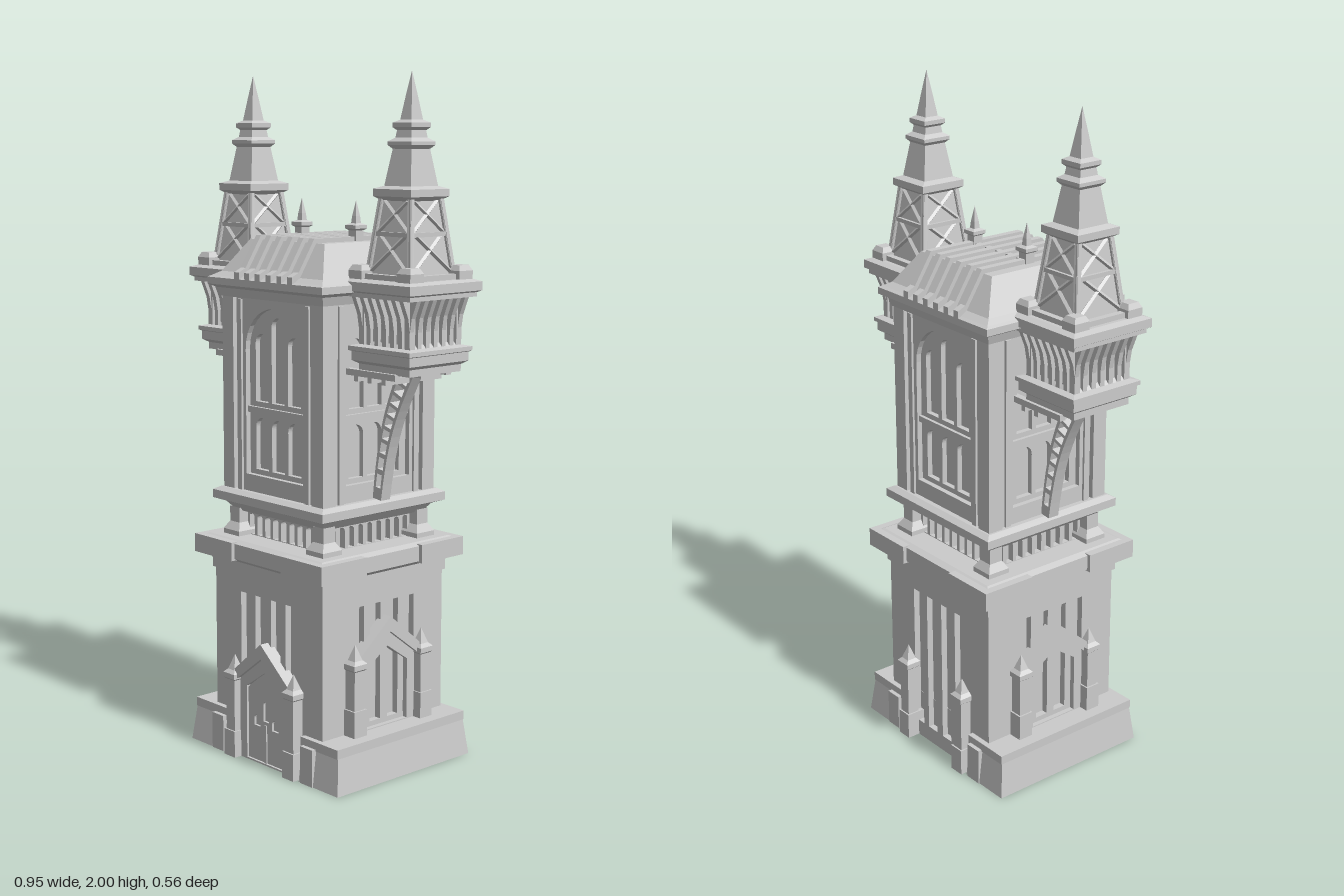
import * as THREE from 'three';

const mat = new THREE.MeshStandardMaterial({ color: 0xcccccc, flatShading: true, side: THREE.DoubleSide });

function add(parent, name, geo) {
  const m = new THREE.Mesh(geo, mat);
  m.name = name;
  parent.add(m);
  return m;
}
function group(parent, name, rotY = 0) {
  const g = new THREE.Group();
  g.name = name;
  g.rotation.y = rotY;
  parent.add(g);
  return g;
}
// box given by its limits
const box = (p, name, x0, x1, y0, y1, z0, z1) =>
  add(p, name, new THREE.BoxGeometry(x1 - x0, y1 - y0, z1 - z0).translate((x0 + x1) / 2, (y0 + y1) / 2, (z0 + z1) / 2));
// square stack from [half width, y] pairs, bottom to top
function stack(p, name, prof, x = 0, z = 0) {
  const pts = prof.map(([r, y]) => new THREE.Vector2(r * Math.SQRT2, y));
  return add(p, name, new THREE.LatheGeometry(pts, 4, Math.PI / 4).translate(x, 0, z));
}
// plate facing +z, with holes
function plate(p, name, shape, holes, z0, z1) {
  shape.holes = holes;
  return add(p, name, new THREE.ExtrudeGeometry(shape, { depth: z1 - z0, bevelEnabled: false, curveSegments: 8 }).translate(0, 0, z0));
}
const poly = pts => new THREE.Shape(pts.map(([x, y]) => new THREE.Vector2(x, y)));
const rect = (x0, x1, y0, y1) => poly([[x0, y0], [x1, y0], [x1, y1], [x0, y1]]);
function arch(cx, hw, y0, ys) {
  const s = new THREE.Shape();
  s.moveTo(cx - hw, y0).lineTo(cx + hw, y0).lineTo(cx + hw, ys);
  s.absarc(cx, ys, hw, 0, Math.PI, false);
  return s;
}
// profile drawn as (z, y), extruded along x
function rib(p, name, pts, x, width) {
  const g = new THREE.ExtrudeGeometry(poly(pts), { depth: width, bevelEnabled: false });
  return add(p, name, g.translate(0, 0, -width / 2).rotateY(-Math.PI / 2).translate(x, 0, 0));
}
function bar(p, name, a, b, t) {
  const A = new THREE.Vector3(...a), B = new THREE.Vector3(...b), d = B.clone().sub(A);
  const m = add(p, name, new THREE.BoxGeometry(t, t, d.length()));
  m.position.copy(A).add(B).multiplyScalar(0.5);
  m.quaternion.setFromUnitVectors(new THREE.Vector3(0, 0, 1), d.normalize());
}
function sides(parent, name, fn) {
  for (let i = 0; i < 4; i++) fn(group(parent, name, i * Math.PI / 2), i);
}

// gable with coping between two pinnacled posts, on a face at +z
function gable(p, y0, eave, peak, z) {
  plate(p, 'gablePanel', poly([[-0.11, y0], [0.11, y0], [0.11, eave], [0, peak - 0.02], [-0.11, eave]]),
    [poly([[-0.08, y0 + 0.005], [0.08, y0 + 0.005], [0.08, eave - 0.03], [0, peak - 0.09], [-0.08, eave - 0.03]])], z - 0.02, z + 0.008);
  plate(p, 'gableCoping', poly([[-0.125, eave - 0.025], [0, peak - 0.045], [0.125, eave - 0.025], [0.125, eave + 0.01], [0, peak], [-0.125, eave + 0.01]]), [], z - 0.02, z + 0.022);
}
function posts(p, y0, y1, z) {
  for (const s of [-1, 1]) {
    box(p, 'postFoot', s * 0.132 - 0.024, s * 0.132 + 0.024, y0, y0 + 0.08, z - 0.03, z + 0.032);
    stack(p, 'post', [[0, y0], [0.019, y0], [0.019, y1 - 0.05], [0.025, y1 - 0.045], [0.025, y1 - 0.03], [0.015, y1 - 0.02], [0, y1 + 0.025]], s * 0.132, z + 0.008);
  }
}

function lowerTower(root) {
  const g = group(root, 'lowerTower');
  // two plinth blocks with a passage between
  for (const s of [-1, 1]) {
    const geo = new THREE.BoxGeometry(0.165, 0.13, 0.53).translate(s * 0.2475, 0.065, 0);
    const pos = geo.attributes.position;
    for (let i = 0; i < pos.count; i++) if (pos.getY(i) > 0.1) {
      pos.setZ(i, pos.getZ(i) * 0.94);
      if (Math.abs(pos.getX(i)) > 0.25) pos.setX(i, s * 0.315);
    }
    add(g, 'plinth', geo);
    box(g, 'plinthBand', s * 0.24 - 0.078, s * 0.24 + 0.078, 0.105, 0.132, -0.255, 0.255);
    for (const f of [-1, 1]) box(g, 'plinthButtress', s * 0.2 - 0.026, s * 0.2 + 0.026, 0, 0.11, f * 0.258 - 0.01, f * 0.258 + 0.01);
  }
  box(g, 'core', -0.218, 0.218, 0.13, 0.56, -0.218, 0.218);
  sides(g, 'lowerFace', (f, i) => {
    const y0 = i % 2 ? 0.13 : 0;
    const slots = [-0.1, -0.035, 0.035, 0.1].map(x => rect(x - 0.021, x + 0.021, i === 2 ? 0.05 : 0.15, 0.5));
    plate(f, 'panelledWall', rect(-0.238, 0.238, y0, 0.56), slots, 0.217, 0.238);
    if (!(i % 2)) box(f, 'wallBacking', -0.17, 0.17, 0, 0.14, 0.2, 0.219);
    if (i % 2) {
      gable(f, 0.13, 0.345, 0.46, 0.245);
      posts(f, 0.13, 0.375, 0.25);
    } else {
      posts(f, 0, 0.285, 0.246);
      if (i === 0) {
        gable(f, 0, 0.255, 0.37, 0.245);
        plate(f, 'door', poly([[-0.08, 0], [0.08, 0], [0.08, 0.22], [0, 0.285], [-0.08, 0.22]]),
          [arch(-0.04, 0.014, 0.11, 0.13), arch(0, 0.012, 0.13, 0.18), arch(0.04, 0.014, 0.11, 0.13)], 0.238, 0.246);
        box(f, 'doorJoint', -0.004, 0.004, 0, 0.12, 0.24, 0.25);
      }
    }
  });
  // ledge with thicker corners
  stack(g, 'ledge', [[0, 0.555], [0.245, 0.555], [0.245, 0.59], [0.27, 0.605], [0.27, 0.65], [0.25, 0.658], [0, 0.658]]);
  for (const sx of [-1, 1]) for (const sz of [-1, 1]) {
    box(g, 'ledgeCorner', sx * 0.196 - 0.086, sx * 0.196 + 0.086, 0.6, 0.655, sz * 0.196 - 0.086, sz * 0.196 + 0.086);
    stack(g, 'cornerPad', [[0.036, 0.655], [0.036, 0.672], [0.022, 0.695], [0.022, 0.74]], sx * 0.185, sz * 0.185);
  }
}

function neck(root) {
  const g = group(root, 'neck');
  stack(g, 'neckCore', [[0.155, 0.65], [0.155, 0.74]]);
  sides(g, 'arcadeSide', f => {
    const holes = [];
    for (let i = -4; i <= 4; i++) holes.push(arch(i * 0.036, 0.012, 0.66, 0.71));
    plate(f, 'arcade', rect(-0.175, 0.175, 0.65, 0.74), holes, 0.153, 0.175);
  });
  stack(g, 'upperLedge', [[0, 0.73], [0.195, 0.73], [0.215, 0.755], [0.243, 0.765], [0.243, 0.79], [0.225, 0.8], [0, 0.8]]);
}

function upperTower(root) {
  const g = group(root, 'upperTower');
  box(g, 'core', -0.178, 0.178, 0.79, 1.4, -0.178, 0.178);
  sides(g, 'upperFace', f => {
    plate(f, 'archedWall', rect(-0.165, 0.165, 0.79, 1.4), [arch(0, 0.125, 0.85, 1.215)], 0.177, 0.21);
    const win = [];
    for (const c of [-1, 0, 1]) {
      win.push(arch(c * 0.071, 0.028, 1.065, c ? 1.235 : 1.285));
      win.push(arch(c * 0.071, 0.028, 0.865, 0.99));
    }
    plate(f, 'tracery', arch(0, 0.126, 0.85, 1.215), win, 0.177, 0.194);
    box(f, 'sill', -0.125, 0.125, 1.032, 1.05, 0.177, 0.204);
    for (const s of [-1, 1]) box(f, 'pilaster', s * 0.147 - 0.009, s * 0.147 + 0.009, 0.79, 1.36, 0.2, 0.217);
    stack(f, 'cornerPier', [[0.024, 0.79], [0.024, 1.39]], 0.195, 0.195);
  });
  stack(g, 'eaves', [[0, 1.365], [0.222, 1.365], [0.23, 1.39], [0.25, 1.4], [0.25, 1.42], [0.24, 1.425], [0, 1.425]]);
  stack(g, 'roof', [[0.24, 1.425], [0.22, 1.437], [0.16, 1.53], [0, 1.53]]);
  // roof ribs and finials
  const line = [[-0.25, 1.42], [-0.25, 1.44], [-0.225, 1.452], [-0.167, 1.543], [0.167, 1.543], [0.225, 1.452], [0.25, 1.44], [0.25, 1.42]];
  for (const x of [-0.115, -0.07, -0.024, 0.024, 0.07, 0.115]) rib(g, 'roofRib', line, x, 0.021);
  box(g, 'roofTie', -0.115, 0.115, 1.525, 1.538, -0.009, 0.009);
  for (const s of [-1, 1]) stack(g, 'finial', [[0.015, 1.53], [0.015, 1.56], [0.022, 1.565], [0.022, 1.575], [0.01, 1.58], [0.008, 1.6], [0, 1.645]], s * 0.116);
}

function turret(root) {
  const g = group(root, 'turret');
  g.position.x = 0.336;
  stack(g, 'turretBase', [[0, 1.18], [0.1, 1.18], [0.1, 1.2], [0.115, 1.21], [0.115, 1.235], [0.122, 1.238], [0.122, 1.25], [0.1, 1.255], [0.09, 1.265],
    [0.088, 1.32], [0.1, 1.385], [0.13, 1.388], [0.13, 1.4], [0.14, 1.405], [0.14, 1.43], [0.12, 1.437], [0, 1.437]]);
  sides(g, 'turretSide', f => {
    for (let i = -3; i <= 3; i++)
      rib(f, 'flareRib', [[0.08, 1.25], [0.1, 1.25], [0.1, 1.3], [0.107, 1.34], [0.128, 1.39], [0.08, 1.39]], i * 0.031, 0.015);
    stack(f, 'cornerBlock', [[0.026, 1.43], [0.026, 1.46], [0.018, 1.475], [0, 1.475]], 0.095, 0.095);
    box(f, 'parapet', -0.09, 0.09, 1.43, 1.452, 0.088, 0.108);
    // crossed braces on the tapered shaft
    for (const s of [-1, 1]) {
      bar(f, 'brace', [-s * 0.07, 1.46, 0.082], [s * 0.052, 1.56, 0.067], 0.009);
      bar(f, 'brace', [-s * 0.066, 1.56, 0.067], [s * 0.044, 1.65, 0.055], 0.009);
      bar(f, 'shaftEdge', [s * 0.083, 1.44, 0.083], [s * 0.056, 1.66, 0.056], 0.014);
    }
    bar(f, 'shaftBand', [-0.068, 1.56, 0.068], [0.068, 1.56, 0.068], 0.012);
  });
  stack(g, 'shaft', [[0.082, 1.43], [0.054, 1.66]]);
  stack(g, 'spire', [[0.055, 1.65], [0.074, 1.662], [0.074, 1.682], [0.052, 1.69], [0.036, 1.79], [0.046, 1.8], [0.046, 1.81], [0.031, 1.82],
    [0.028, 1.84], [0.037, 1.848], [0.037, 1.86], [0.022, 1.868], [0.012, 1.93], [0, 2]]);
  return g;
}

function bracket(root) {
  const g = group(root, 'bracket');
  // pierced curved strut
  const v = (x, y) => new THREE.Vector2(x, y);
  const curve = new THREE.CubicBezierCurve(v(0.225, 0.8), v(0.25, 1.0), v(0.28, 1.06), v(0.34, 1.18));
  const at = (t, o) => {
    const p = curve.getPoint(t), d = curve.getTangent(t);
    return [p.x + d.y * o, p.y - d.x * o];
  };
  const left = [], right = [], holes = [];
  for (let i = 0; i <= 12; i++) {
    const t = i / 12, w = 0.017 + 0.013 * t;
    right.push(at(t, w));
    left.unshift(at(t, -w));
  }
  for (let i = 0; i < 9; i++) {
    const t = 0.06 + i * 0.105, w = 0.009 + 0.011 * t;
    holes.push(poly([at(t, -w), at(t, w), at(t + 0.075, w), at(t + 0.075, -w)]));
  }
  plate(g, 'strut', poly([...right, ...left]), holes, -0.018, 0.018);
  // carrying beams below the turret
  for (const z of [-0.1, 0, 0.1]) box(g, 'beam', 0.17, 0.39, 1.165, 1.183, z - 0.01, z + 0.01);
  for (const x of [0.235, 0.29, 0.345]) box(g, 'crossBeam', x - 0.008, x + 0.008, 1.15, 1.168, -0.11, 0.11);
  return g;
}

export function createModel() {
  const root = new THREE.Group();
  root.name = 'tower';
  lowerTower(root);
  neck(root);
  upperTower(root);
  for (const a of [0, Math.PI]) {
    const wing = group(root, a ? 'rightWing' : 'leftWing', a);
    turret(wing);
    bracket(wing);
  }
  return root;
}
